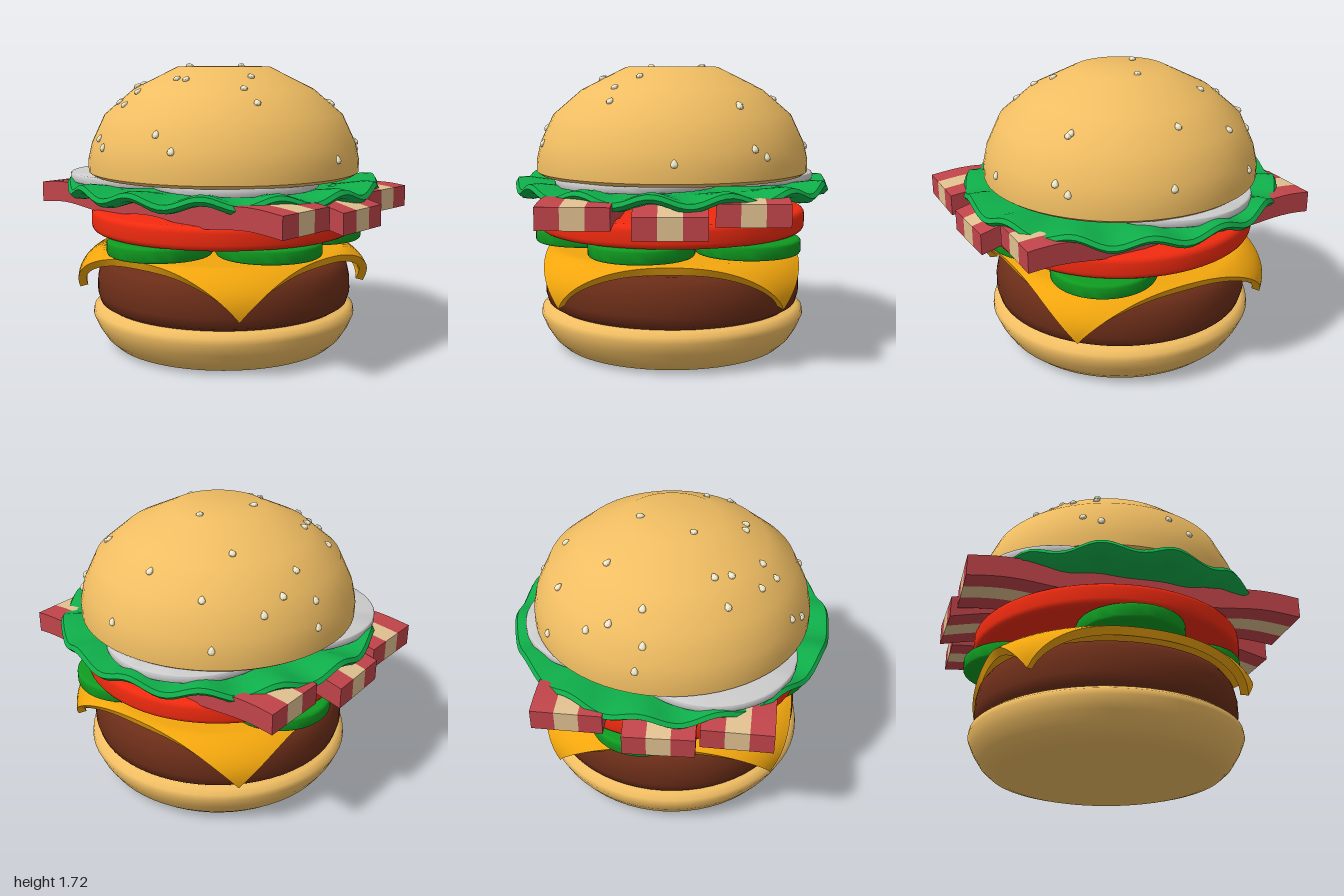
import * as THREE from 'three';
import { toCreasedNormals } from 'three/addons/utils/BufferGeometryUtils.js';

const mat = (color) => new THREE.MeshStandardMaterial({ color });
const BUN = mat(0xf0bd62), PATTY = mat(0x6b2d18), CHEESE = mat(0xf2a60d), PICKLE = mat(0x0f9a20);
const TOMATO = mat(0xf02a0f), MEAT = mat(0xc0444a), FAT = mat(0xe0c090);
const LETTUCE = mat(0x0fae4a), ONION = mat(0xcccccc), SEED = mat(0xf0e8c8);

function add(parent, name, geometry, material) {
  const mesh = new THREE.Mesh(geometry, material);
  mesh.name = name;
  parent.add(mesh);
  return mesh;
}

// Solid of revolution from [radius, y] pairs, bottom to top
function turned(profile, segments = 64) {
  const points = profile.map(([r, y]) => new THREE.Vector2(r, y));
  return toCreasedNormals(new THREE.LatheGeometry(points, segments), 0.8);
}

// Disc with rounded edges
function slice(r, y0, y1, b, segments = 64) {
  const profile = [[0, y0]];
  for (let i = 0; i <= 4; i++) {
    const a = -Math.PI / 2 + (i / 4) * Math.PI / 2;
    profile.push([r - b + b * Math.cos(a), y0 + b + b * Math.sin(a)]);
  }
  for (let i = 0; i <= 4; i++) {
    const a = (i / 4) * Math.PI / 2;
    profile.push([r - b + b * Math.cos(a), y1 - b + b * Math.sin(a)]);
  }
  profile.push([0, y1]);
  return turned(profile, segments);
}

// Apply a rule to every vertex
function deform(geometry, rule) {
  const p = geometry.attributes.position, v = new THREE.Vector3();
  for (let i = 0; i < p.count; i++) {
    rule(v.fromBufferAttribute(p, i));
    p.setXYZ(i, v.x, v.y, v.z);
  }
  return toCreasedNormals(geometry, 0.8);
}

// Square sheet whose corners melt down over the patty
function cheeseGeometry() {
  const half = 0.76, top = 0.62, thick = 0.05, r0 = 0.74;
  const span = half * Math.SQRT2 - r0;
  const outward = (t) => r0 + 0.165 * Math.sin(t * 1.9);
  const height = (t) => top - 0.27 * Math.pow(t, 1.4);
  return deform(new THREE.BoxGeometry(2 * half, thick, 2 * half, 48, 1, 48), (v) => {
    const r = Math.hypot(v.x, v.z), under = v.y < 0;
    const t = Math.max(0, (r - r0) / span);
    let R = r, y = top, nr = 0, ny = 1;
    if (t > 0) {
      R = outward(t);
      y = height(t);
      const dr = outward(t + 0.01) - outward(t - 0.01);
      const dy = height(t + 0.01) - height(Math.max(0, t - 0.01));
      const len = Math.hypot(dr, dy);
      nr = -dy / len;
      ny = dr / len;
    }
    if (under) {
      R -= thick * nr;
      y -= thick * ny;
    }
    const k = r > 0 ? R / r : 1;
    v.set(v.x * k, y, v.z * k);
  });
}

// Wavy strip of three lengthwise bands
function baconStrip(parent, name, length, x, y, z, turn, endDrop) {
  const strip = new THREE.Group();
  strip.name = name;
  strip.position.set(x, y, z);
  strip.rotation.y = turn;
  const w = 0.4 / 3;
  [MEAT, FAT, MEAT].forEach((material, i) => {
    const g = deform(new THREE.BoxGeometry(length, 0.125, w, 48, 1, 1), (v) => {
      const e = Math.max(0, Math.abs(v.x) - 0.7) / 0.3;
      v.y += 0.014 * Math.cos(v.x * 2 * Math.PI / 0.75) - endDrop * e;
      v.z += (i - 1) * w;
    });
    add(strip, i === 1 ? 'baconFat' : 'baconMeat', g, material);
  });
  parent.add(strip);
}

const CROWN = [[0, 1.06], [0.8, 1.06], [0.828, 1.08], [0.828, 1.15], [0.805, 1.25],
  [0.725, 1.42], [0.55, 1.57], [0.28, 1.705], [0, 1.705]];

// Height and slope of the top bun at a given radius
function crownAt(r) {
  for (let i = CROWN.length - 1; i > 3; i--) {
    const [ra, ya] = CROWN[i], [rb, yb] = CROWN[i - 1];
    if (r <= rb) return { y: ya + (yb - ya) * (r - ra) / (rb - ra), slope: Math.atan2(ya - yb, rb - ra) };
  }
  return { y: 1.15, slope: 1.4 };
}

// Seed positions as x, z
const SEEDS = [
  [-.47, -.67], [-.36, -.61], [-.01, -.62], [.12, -.8], [.62, -.53], [.66, -.46], [.52, -.38], [.535, -.38],
  [-.63, -.42], [-.66, -.29], [-.35, -.33], [-.01, -.18], [-.8, -.14], [-.75, -.1], [-.62, -.11], [-.16, .13],
  [-.43, .26], [-.39, .35], [-.55, .34], [.35, .18], [.41, .32], [.52, .34], [0, .42], [.07, .42],
  [-.37, .52], [-.22, .52], [-.25, .6], [-.36, .7], [-.27, .76], [.14, .75], [.26, .76], [.82, -.02],
];

export function createModel() {
  const burger = new THREE.Group();
  burger.name = 'burger';

  add(burger, 'bottomBun', turned([[0, 0], [0.64, 0], [0.69, 0.015], [0.74, 0.06], [0.785, 0.13],
    [0.815, 0.2], [0.81, 0.235], [0.78, 0.258], [0, 0.26]]), BUN);
  add(burger, 'patty', turned([[0, 0.255], [0.73, 0.255], [0.77, 0.28], [0.787, 0.34], [0.785, 0.42],
    [0.77, 0.49], [0.74, 0.535], [0.7, 0.55], [0, 0.55]]), PATTY);
  add(burger, 'cheese', cheeseGeometry(), CHEESE);

  // Pickles
  for (const [x, z] of [[-0.03, 0.545], [0.48, 0.17], [0.36, -0.445], [-0.545, -0.13]]) {
    add(burger, 'pickle', slice(0.31, 0.63, 0.72, 0.02, 40), PICKLE).position.set(x, 0, z);
  }

  add(burger, 'tomato', slice(0.815, 0.72, 0.855, 0.035), TOMATO);

  // Bacon
  baconStrip(burger, 'backBacon', 1.81, 0, 0.92, -0.475, -0.04, 0);
  baconStrip(burger, 'middleBacon', 2, 0, 0.915, 0, 0, 0.04);
  baconStrip(burger, 'frontBacon', 1.95, 0, 0.92, 0.465, -0.045, 0);

  // Lettuce with a ruffled rim
  const leaf = turned([[0, 0.965], [0.66, 0.965], [0.78, 0.96], [0.87, 0.955], [0.93, 0.965], [0.955, 0.99],
    [0.94, 1.015], [0.88, 1.02], [0.78, 1.015], [0.66, 1.01], [0, 1.01]], 140);
  add(burger, 'lettuce', deform(leaf, (v) => {
    const ruffle = THREE.MathUtils.smoothstep(Math.hypot(v.x, v.z), 0.62, 0.92);
    v.y += 0.026 * ruffle * Math.sin(14 * Math.atan2(v.x, v.z));
  }), LETTUCE);

  // Onion slices
  for (const [x, z] of [[-0.38, 0.26], [-0.1, -0.385], [0.25, 0.2]]) {
    add(burger, 'onion', slice(0.49, 1.015, 1.065, 0.012, 48), ONION).position.set(x, 0, z);
  }

  add(burger, 'topBun', turned(CROWN), BUN);

  // Teardrop sesame seeds lying on the crown, tips uphill
  const seed = turned([[0, -0.024], [0.014, -0.02], [0.021, -0.008], [0.019, 0.004], [0.01, 0.018], [0, 0.026]], 10);
  seed.rotateX(-Math.PI / 2).scale(1, 0.7, 1);
  for (const [x, z] of SEEDS) {
    const { y, slope } = crownAt(Math.hypot(x, z));
    const mesh = add(burger, 'sesameSeed', seed, SEED);
    mesh.position.set(x, y + 0.004, z);
    mesh.rotation.set(slope, Math.atan2(x, z), 0, 'YXZ');
  }
  return burger;
}
